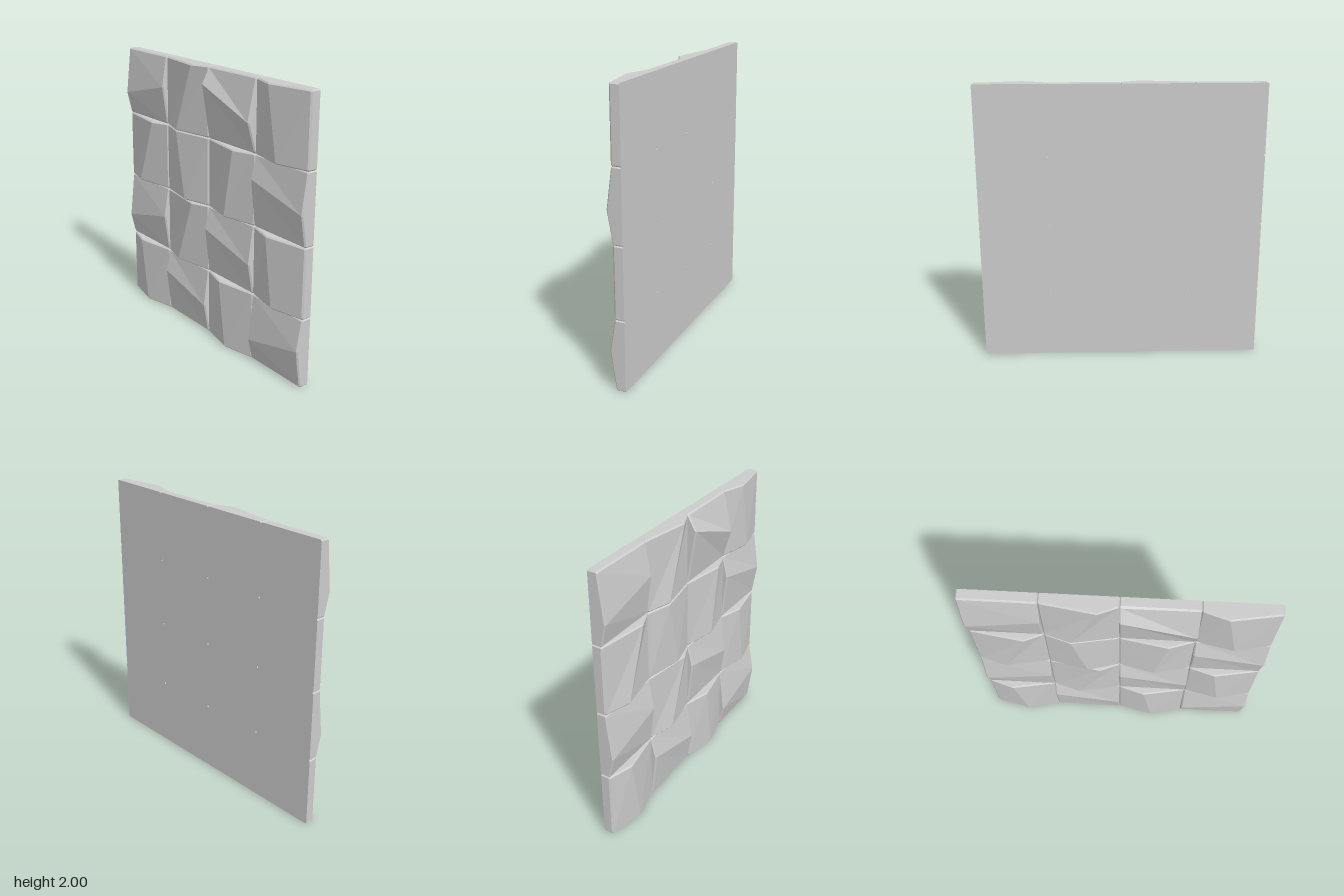
import * as THREE from 'three';

const BACK = -0.066, HALF = 0.25, BEVEL = 0.009;

// Each tile: ridge direction (h = left to right, v = top to bottom),
// offset of the ridge at its start and end, ridge height
const LAYOUT = [
  [['h', -0.09, 0.03, 0.042], ['v', 0.12, -0.07, 0.058], ['h', 0.14, -0.04, 0.066], ['v', -0.08, 0.01, 0.058]],
  [['v', 0.12, -0.06, 0.058], ['v', -0.07, 0.03, 0.058], ['v', 0.08, -0.01, 0.058], ['h', 0.09, -0.03, 0.042]],
  [['h', -0.09, 0.03, 0.042], ['v', 0.12, -0.06, 0.058], ['h', 0.09, -0.03, 0.042], ['v', -0.07, 0, 0.058]],
  [['v', -0.07, 0.01, 0.058], ['h', 0.09, -0.03, 0.042], ['v', -0.06, 0.01, 0.058], ['h', -0.09, 0.03, 0.042]],
];

function tileGeometry(dir, a, b, height) {
  const ridge = (u) => a + (b - a) * (u + HALF) / (2 * HALF);
  const top = (u, v) => {
    const d = v - ridge(u);
    return 0.003 + (height - 0.003) * (1 - Math.abs(d) / (d > 0 ? HALF - ridge(u) : HALF + ridge(u)));
  };
  // Outline with clipped corners and a point at each ridge end, counter-clockwise
  const outline = (s, c) => [
    [-s, ridge(-s)], [-s, -s + c], [-s + c, -s], [s - c, -s], [s, -s + c],
    [s, ridge(s)], [s, s - c], [s - c, s], [-s + c, s], [-s, s - c],
  ];
  const outer = outline(HALF, 0.008), inner = outline(HALF - BEVEL, 0.004);
  const rings = [
    outer.map(([u, v]) => [u, v, BACK]),
    outer.map(([u, v]) => [u, v, top(u, v) - 0.009]),
    inner.map(([u, v]) => [u, v, top(u, v)]),
  ];
  const n = outer.length, index = [];
  // Side walls and bevel
  for (let r = 0; r < 2; r++) {
    for (let i = 0; i < n; i++) {
      const p = r * n + i, q = r * n + (i + 1) % n;
      index.push(p, q, q + n, p, q + n, p + n);
    }
  }
  // Back, then the two front slopes meeting at the ridge
  for (let i = 1; i < n - 1; i++) index.push(0, i + 1, i);
  for (const start of [0, 5]) {
    for (let i = 1; i < 5; i++) {
      index.push(2 * n + start, 2 * n + start + i, 2 * n + (start + i + 1) % n);
    }
  }
  const positions = rings.flat().flatMap(([u, v, z]) => (dir === 'h' ? [u, v, z] : [v, -u, z]));
  const geometry = new THREE.BufferGeometry();
  geometry.setAttribute('position', new THREE.Float32BufferAttribute(positions, 3));
  geometry.setIndex(index);
  const flat = geometry.toNonIndexed();
  flat.computeVertexNormals();
  return flat;
}

export function createModel() {
  const group = new THREE.Group();
  group.name = 'facetedWallPanel';
  const material = new THREE.MeshStandardMaterial({ color: 0xcccccc, flatShading: true });
  LAYOUT.forEach((row, r) => row.forEach((spec, c) => {
    const tile = new THREE.Mesh(tileGeometry(...spec), material);
    tile.name = `tileRow${r + 1}Column${c + 1}`;
    tile.scale.x = 0.996;
    tile.position.set((c - 1.5) * 0.498, 1.75 - r * 0.5, 0);
    group.add(tile);
  }));
  return group;
}
